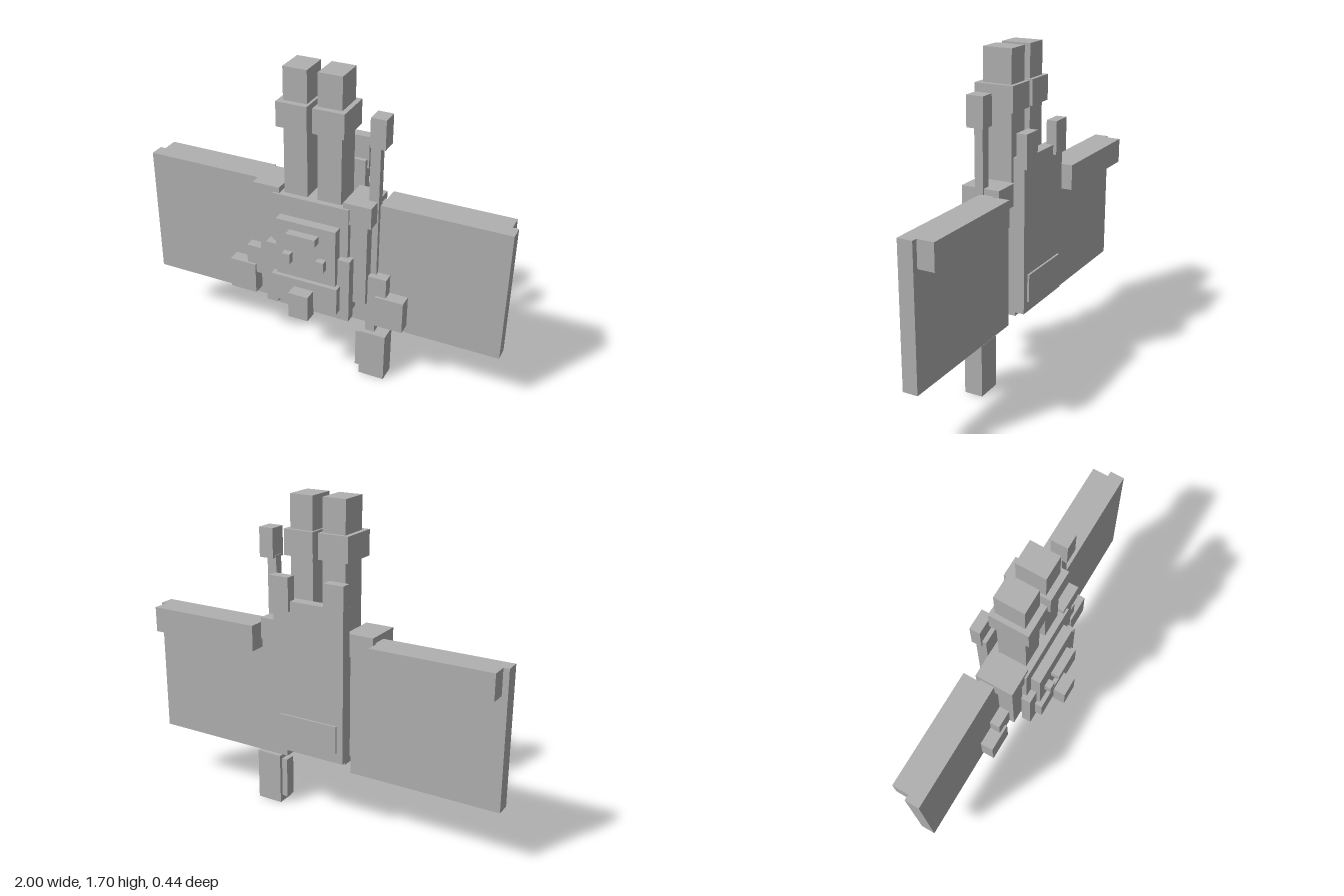
import * as THREE from 'three';

export function createModel() {
  const model = new THREE.Group();
  const grey = new THREE.MeshStandardMaterial({ color: 0xb0b0b0 });
  grey.name = 'plain grey';

  // Box given by its [min, max] range on each axis
  function block(name, x, y, z) {
    const size = [x, y, z].map(([a, b]) => b - a);
    const mesh = new THREE.Mesh(new THREE.BoxGeometry(...size), grey);
    mesh.position.set(...[x, y, z].map(([a, b]) => (a + b) / 2));
    mesh.name = name;
    model.add(mesh);
  }

  // The same box on both sides of x = 0
  function pair(name, x, y, z) {
    block('left ' + name, x, y, z);
    block('right ' + name, [-x[1], -x[0]], y, z);
  }

  // Torso
  block('torso core', [-0.18, 0.18], [0.365, 1.02], [-0.145, 0.074]);
  block('torso shell', [-0.21, 0.21], [0.395, 1.03], [-0.1, 0.078]);
  pair('side strip', [0.17, 0.235], [0.395, 0.755], [0.06, 0.112]);

  // Face
  block('face panel', [-0.165, 0.165], [0.6, 0.92], [0.07, 0.13]);
  block('muzzle', [-0.185, 0.185], [0.45, 0.6], [0.07, 0.153]);
  block('nose', [-0.055, 0.055], [0.41, 0.555], [0.15, 0.22]);
  block('brow', [-0.08, 0.08], [0.845, 0.885], [0.145, 0.19]);
  pair('eye', [0.072, 0.116], [0.69, 0.747], [0.128, 0.165]);

  // Ears with bands
  pair('ear', [0.028, 0.155], [1.0, 1.7], [-0.11, 0.045]);
  pair('ear band', [0.015, 0.18], [1.4, 1.53], [-0.13, 0.077]);

  // Back plate
  block('back plate', [-0.2, 0.2], [0.395, 1.195], [-0.205, -0.145]);
  block('back flap', [-0.165, 0.165], [0.45, 0.595], [-0.216, -0.2]);
  pair('back knob', [0.1, 0.21], [1.145, 1.317], [-0.222, -0.167]);

  // Wings with rear top bars
  pair('wing', [0.192, 1.0], [0.31, 1.03], [-0.113, -0.035]);
  pair('wing bar', [0.335, 0.97], [0.895, 1.03], [-0.2, -0.11]);

  // Arms
  pair('shoulder', [0.175, 0.325], [0.945, 1.06], [-0.137, 0.067]);
  pair('upper arm', [0.2, 0.3], [0.478, 0.95], [-0.11, 0.05]);
  pair('forearm', [0.28, 0.4], [0.48, 0.64], [-0.033, 0.023]);
  pair('hand', [0.347, 0.5], [0.355, 0.533], [-0.035, 0.036]);

  // Staff on the left side
  block('staff pole', [0.28, 0.332], [0.25, 1.37], [-0.055, -0.01]);
  block('staff cap', [0.284, 0.364], [1.357, 1.51], [-0.077, 0.013]);
  block('staff head', [0.262, 0.403], [0, 0.277], [-0.081, 0.017]);
  block('staff head edge', [0.23, 0.27], [0.035, 0.255], [-0.062, -0.002]);

  return model;
}
